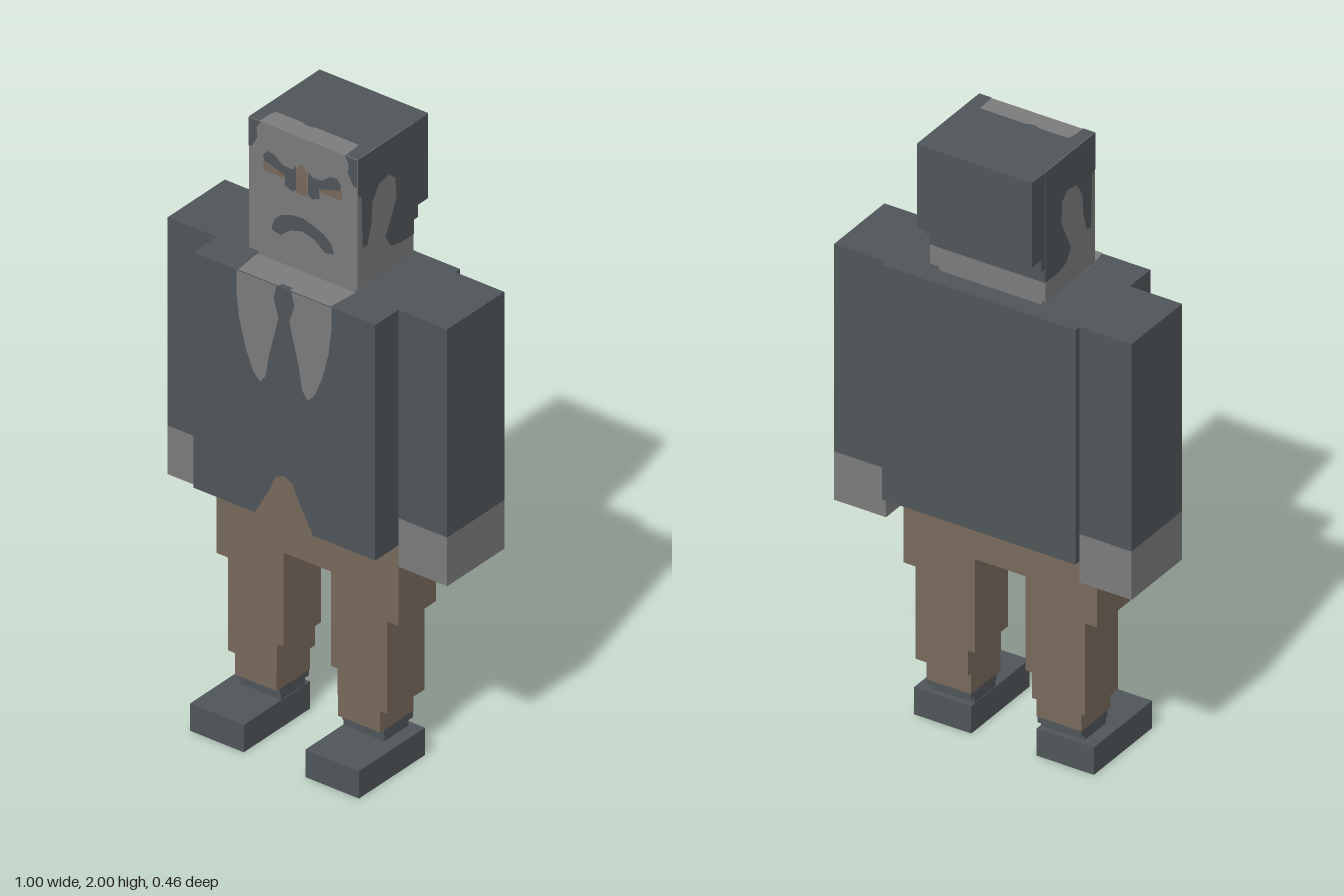
import * as THREE from 'three';

const mat = (name, color) => {
  const m = new THREE.MeshStandardMaterial({ color });
  m.name = name;
  return m;
};

export function createModel() {
  const model = new THREE.Group();
  model.name = 'suitedMan';
  const suit = mat('charcoal', 0x50565a);
  const skin = mat('grey', 0x7c7c7c);
  const cloth = mat('brown', 0x786a5d);

  // Box given by its limits on each axis
  function box(name, m, [x0, x1], [y0, y1], [z0, z1]) {
    const mesh = new THREE.Mesh(new THREE.BoxGeometry(x1 - x0, y1 - y0, z1 - z0), m);
    mesh.position.set((x0 + x1) / 2, (y0 + y1) / 2, (z0 + z1) / 2);
    mesh.name = name;
    model.add(mesh);
  }
  // The same box on both sides
  function pair(name, m, [x0, x1], y, z) {
    box(name + 'Left', m, [x0, x1], y, z);
    box(name + 'Right', m, [-x1, -x0], y, z);
  }
  // Flat painted patch; points are (x,y) in front, (z,y) at the sides, (x,z) on top
  const faces = {
    front: { map: ([a, b]) => [a, b], rot: [0, 0, 0], axis: 'z' },
    left: { map: ([a, b]) => [-a, b], rot: [0, Math.PI / 2, 0], axis: 'x' },
    right: { map: ([a, b]) => [a, b], rot: [0, -Math.PI / 2, 0], axis: 'x' },
    top: { map: ([a, b]) => [a, -b], rot: [-Math.PI / 2, 0, 0], axis: 'y' },
  };
  function patch(name, m, face, at, points) {
    const f = faces[face];
    const shape = new THREE.Shape(points.map((p) => new THREE.Vector2(...f.map(p))));
    const mesh = new THREE.Mesh(new THREE.ShapeGeometry(shape), m);
    mesh.rotation.set(...f.rot);
    mesh.position[f.axis] = at;
    mesh.name = name;
    model.add(mesh);
  }
  const flip = (points) => points.map(([x, y]) => [-x, y]);
  function patchPair(name, m, at, points) {
    patch(name + 'Left', m, 'front', at, points);
    patch(name + 'Right', m, 'front', at, flip(points));
  }

  // Shoes, ankles and stepped trouser legs
  pair('shoe', suit, [0.11, 0.302], [0, 0.09], [-0.075, 0.228]);
  pair('ankleLower', suit, [0.112, 0.258], [0.09, 0.11], [-0.055, 0.055]);
  pair('ankle', suit, [0.112, 0.26], [0.11, 0.13], [-0.073, 0.06]);
  pair('trouserCuff', cloth, [0.11, 0.26], [0.13, 0.2], [-0.075, 0.077]);
  pair('shin', cloth, [0.108, 0.285], [0.2, 0.285], [-0.095, 0.077]);
  pair('thigh', cloth, [0.085, 0.285], [0.285, 0.505], [-0.095, 0.077]);
  pair('hip', cloth, [0.085, 0.325], [0.505, 0.595], [-0.095, 0.077]);
  box('pelvis', cloth, [-0.325, 0.325], [0.595, 0.77], [-0.095, 0.077]);

  // Jacket, sleeves and hands
  box('jacket', suit, [-0.325, 0.325], [0.77, 1.545], [-0.207, 0.183]);
  pair('sleeve', suit, [0.325, 0.5], [0.86, 1.545], [-0.185, 0.077]);
  pair('hand', skin, [0.325, 0.5], [0.7, 0.86], [-0.185, 0.077]);

  // Shirt lobes beside the tie, open jacket hem, collar
  patchPair('shirt', skin, 0.185, [
    [0.17, 1.545], [0.17, 1.47], [0.16, 1.39], [0.137, 1.3], [0.11, 1.235], [0.085, 1.208],
    [0.065, 1.235], [0.053, 1.31], [0.032, 1.39], [0.02, 1.445], [0.037, 1.5], [0.027, 1.545],
  ]);
  patch('jacketOpening', cloth, 'front', 0.185, [
    [-0.105, 0.77], [0.105, 0.77], [0.055, 0.86], [0.03, 0.915], [0, 0.93], [-0.03, 0.915], [-0.055, 0.86],
  ]);
  patch('collar', skin, 'top', 1.547, [
    [-0.165, 0.183], [-0.02, 0.183], [-0.02, 0.168], [0.02, 0.168], [0.02, 0.183], [0.165, 0.183],
    [0.173, 0.1], [0.172, 0], [-0.172, 0], [-0.175, 0.1],
  ]);

  // Neck and head
  box('neck', skin, [-0.172, 0.172], [1.545, 1.57], [-0.143, 0.08]);
  box('head', skin, [-0.194, 0.194], [1.57, 1.998], [-0.16, 0.097]);

  // Hair: stepped back, crown and sides
  box('hairBack', suit, [-0.194, 0.194], [1.72, 1.998], [-0.228, -0.16]);
  box('hairBackStep', suit, [-0.194, 0.194], [1.68, 1.72], [-0.182, -0.16]);
  box('hairNape', suit, [-0.194, 0.194], [1.635, 1.68], [-0.163, -0.16]);
  patch('hairCrown', suit, 'top', 2, [
    [-0.194, 0.097], [-0.155, 0.097], [-0.155, 0.055], [-0.148, 0.03], [-0.05, 0.03], [-0.04, 0.036], [-0.015, 0.036],
    [-0.01, 0.03], [0.148, 0.03], [0.152, 0.097], [0.194, 0.097], [0.194, -0.228], [-0.194, -0.228],
  ]);
  const hairSide = [
    [0.097, 2], [0.097, 1.88], [0.08, 1.87], [0.075, 1.7], [0.053, 1.7], [0.035, 1.76], [0.03, 1.83],
    [0, 1.875], [-0.045, 1.885], [-0.075, 1.86], [-0.08, 1.79], [-0.053, 1.735], [-0.03, 1.685],
    [-0.055, 1.645], [-0.1, 1.635], [-0.16, 1.635], [-0.16, 2],
  ];
  patch('hairSideLeft', suit, 'left', 0.196, hairSide);
  patch('hairSideRight', suit, 'right', -0.196, hairSide);
  patchPair('hairlineCorner', suit, 0.099, [
    [0.15, 1.999], [0.165, 1.975], [0.162, 1.945], [0.18, 1.91], [0.194, 1.905], [0.194, 1.999],
  ]);

  // Face: eyes, brows, nose and moustache
  patchPair('eye', cloth, 0.099, [[0.06, 1.845], [0.14, 1.845], [0.14, 1.878], [0.06, 1.878]]);
  patchPair('brow', suit, 0.101, [
    [0.14, 1.895], [0.125, 1.913], [0.1, 1.91], [0.07, 1.887], [0.035, 1.885], [0.022, 1.9],
    [0.02, 1.825], [0.035, 1.812], [0.063, 1.825], [0.06, 1.855], [0.1, 1.868], [0.135, 1.877],
  ]);
  patch('nose', cloth, 'front', 0.103, [
    [-0.02, 1.815], [0.02, 1.815], [0.02, 1.89], [0.005, 1.912], [-0.005, 1.912], [-0.02, 1.89],
  ]);
  patch('moustache', suit, 'front', 0.099, [
    [0, 1.737], [-0.04, 1.733], [-0.08, 1.718], [-0.102, 1.695], [-0.112, 1.66], [-0.08, 1.652], [-0.045, 1.68],
    [0, 1.693], [0.045, 1.68], [0.08, 1.652], [0.112, 1.66], [0.102, 1.69], [0.075, 1.712], [0.04, 1.725],
  ]);
  return model;
}
